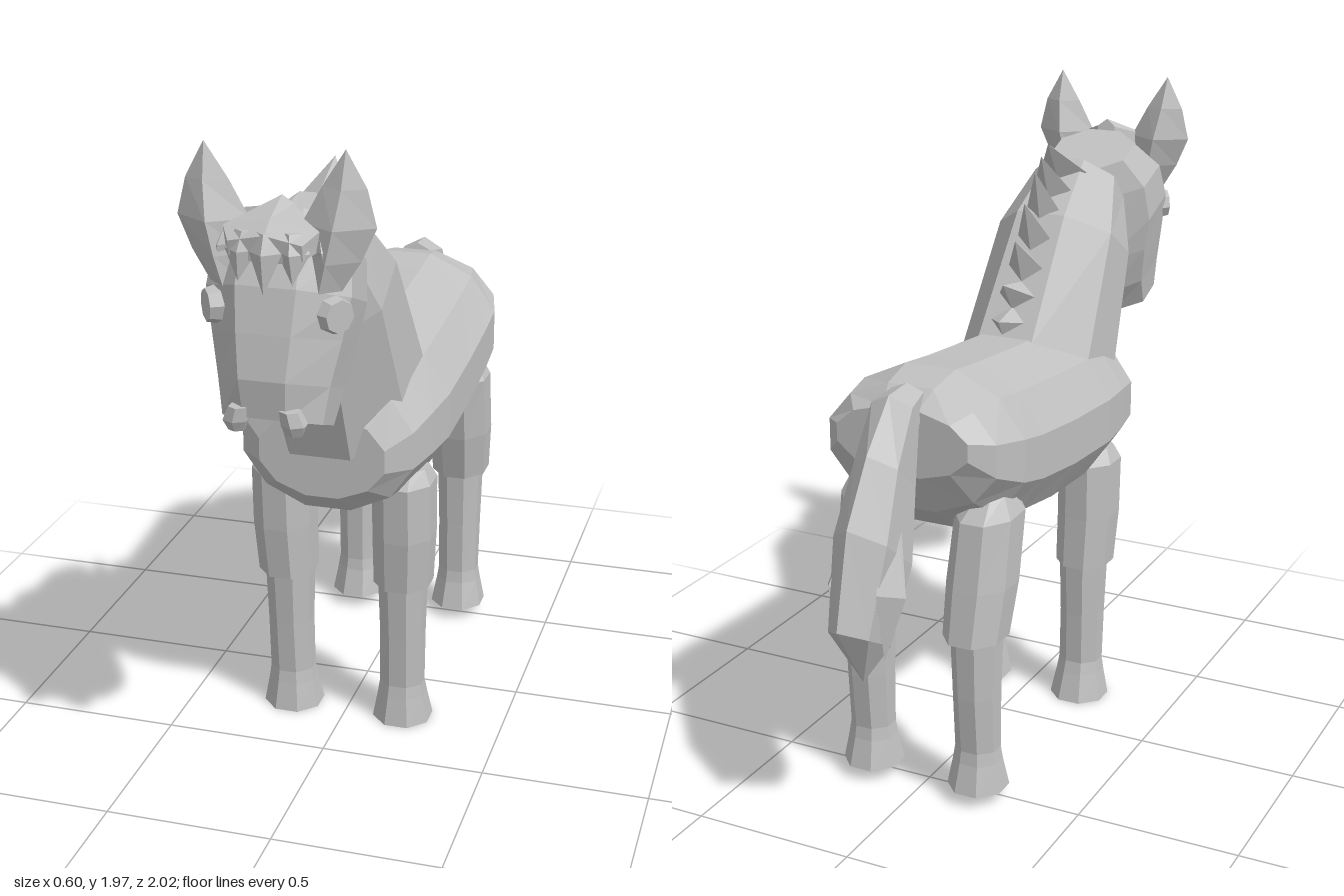
import * as THREE from 'three';

const coat = new THREE.MeshStandardMaterial({ color: 0xc0c0c0, flatShading: true });
coat.name = 'grey coat';

// Capped loft. Each ring is [z1, y1, z2, y2, halfWidth, x]: a polygon whose
// mid-line runs from (z1, y1) to (z2, y2), spread sideways by halfWidth.
function loft(name, rings, n = 8) {
  const c = n === 4 ? 1 : Math.cos(Math.PI / n);
  const shift = n === 4 ? 0 : 0.5;
  const pos = [], idx = [];
  const centres = [];
  rings.forEach(([z1, y1, z2, y2, w, x = 0]) => {
    centres.push([x, (y1 + y2) / 2, (z1 + z2) / 2]);
    for (let k = 0; k < n; k++) {
      const a = ((k + shift) / n) * Math.PI * 2;
      const s = Math.sin(a) / c / 2;
      pos.push(x + (w * Math.cos(a)) / c, (y1 + y2) / 2 + (y2 - y1) * s, (z1 + z2) / 2 + (z2 - z1) * s);
    }
  });
  const last = rings.length - 1, c0 = rings.length * n;
  pos.push(...centres[0], ...centres[last]);
  for (let k = 0; k < n; k++) {
    const m = (k + 1) % n;
    for (let r = 0; r < last; r++) {
      const a = r * n + k, b = r * n + m;
      idx.push(a, b, b + n, a, b + n, a + n);
    }
    idx.push(c0, m, k, c0 + 1, last * n + k, last * n + m);
  }
  // Turn the faces outward if the rings ran the other way
  const v = (i) => new THREE.Vector3().fromArray(pos, i * 3);
  let volume = 0;
  for (let i = 0; i < idx.length; i += 3) volume += v(idx[i]).dot(v(idx[i + 1]).cross(v(idx[i + 2])));
  if (volume < 0) idx.reverse();
  const indexed = new THREE.BufferGeometry();
  indexed.setAttribute('position', new THREE.Float32BufferAttribute(pos, 3));
  indexed.setIndex(idx);
  const geo = indexed.toNonIndexed();
  geo.computeVertexNormals();
  const mesh = new THREE.Mesh(geo, coat);
  mesh.name = name;
  return mesh;
}

// Level ring for legs and ears
const level = (y, z1, z2, w, x) => [z1, y, z2, y, w, x];

export function createModel() {
  const model = new THREE.Group();
  model.name = 'horse';
  const add = (...parts) => model.add(...parts);

  // Barrel of the body: z, bottom, top, half width
  add(loft('body', [
    [0.49, 0.84, 1.1, 0.19], [0.43, 0.78, 1.2, 0.26], [0.3, 0.76, 1.24, 0.285],
    [0.16, 0.745, 1.26, 0.3], [-0.1, 0.755, 1.28, 0.3], [-0.33, 0.79, 1.3, 0.3],
    [-0.46, 0.83, 1.315, 0.3], [-0.58, 0.92, 1.29, 0.27], [-0.64, 1.04, 1.24, 0.21],
  ].map(([z, lo, hi, w]) => [z, lo, z, hi, w]), 12));

  add(loft('neck', [
    [0.5, 0.97, 0.02, 1.26, 0.22], [0.65, 1.38, 0.28, 1.61, 0.195], [0.68, 1.55, 0.48, 1.75, 0.14],
    [0.66, 1.66, 0.57, 1.7, 0.1],
  ]));

  add(loft('head', [
    [0.57, 1.7, 0.79, 1.79, 0.13], [0.58, 1.6, 0.9, 1.72, 0.19], [0.6, 1.48, 0.95, 1.62, 0.2],
    [0.61, 1.38, 0.975, 1.5, 0.18], [0.66, 1.26, 0.995, 1.38, 0.155], [0.75, 1.18, 0.98, 1.27, 0.14],
  ]));

  // Mane: swept-back spikes down the neck
  const crest = (t) => [0.49 - 0.49 * t, 1.75 - 0.47 * t];
  [[0.33, 1.82], [0.28, 1.79], [0.235, 1.75], [0.16, 1.665], [0.095, 1.56], [0.01, 1.44], [-0.02, 1.33]]
    .forEach((tip, i) => {
      const w = 0.08 - i * 0.004;
      add(loft('maneSpike', [[...crest(i * 0.14), ...crest(i * 0.14 + 0.15), w], [...tip, ...tip, 0]], 4));
    });

  // Forelock: ragged locks hanging over the brow
  add(loft('forelockBase', [
    [0.78, 1.74, 0.8, 1.82, 0.03], [0.88, 1.69, 0.9, 1.78, 0.13], [0.94, 1.68, 0.95, 1.75, 0.1],
  ], 6));
  [[-0.14, 0.9, 1.62], [-0.07, 0.95, 1.63], [0, 0.965, 1.6], [0.07, 0.95, 1.63], [0.14, 0.9, 1.62]]
    .forEach(([x, z, y]) => add(loft('forelock', [
      level(1.76, z - 0.05, z - 0.01, 0.025, x * 0.9),
      level(1.71, z - 0.06, z + 0.015, 0.045, x),
      level(y, z, z, 0, x * 1.05),
    ], 4)));

  // Tail
  add(loft('tail', [
    [-0.58, 1.22, -0.6, 1.3, 0.05], [-0.64, 1.18, -0.7, 1.29, 0.065], [-0.65, 1.0, -0.82, 1.15, 0.07],
    [-0.69, 0.78, -0.93, 0.97, 0.085], [-0.79, 0.58, -1.0, 0.7, 0.065], [-0.88, 0.5, -0.88, 0.5, 0],
  ], 6));

  for (const s of [1, -1]) {
    const side = s > 0 ? 'left' : 'right';

    add(loft(side + 'TailTuft', [
      [-0.74, 1.0, -0.78, 1.03, 0.01, s * 0.05], [-0.77, 0.74, -0.93, 0.8, 0.05, s * 0.075],
      [-0.88, 0.58, -0.88, 0.58, 0, s * 0.07],
    ], 4));

    // Leaf-shaped ears
    add(loft(side + 'Ear', [
      level(1.6, 0.82, 0.91, 0.05, s * 0.13), level(1.68, 0.8, 0.92, 0.08, s * 0.15),
      level(1.77, 0.79, 0.92, 0.1, s * 0.17), level(1.87, 0.82, 0.89, 0.06, s * 0.185),
      level(1.97, 0.86, 0.86, 0, s * 0.19),
    ], 4));

    // Eye disc, turned outward and a little forward
    const eye = new THREE.Mesh(new THREE.CylinderGeometry(0.045, 0.055, 0.04, 8), coat);
    eye.name = side + 'Eye';
    eye.position.set(s * 0.168, 1.54, 0.885);
    eye.quaternion.setFromUnitVectors(new THREE.Vector3(0, 1, 0), new THREE.Vector3(s * 0.8, 0, 0.6));
    add(eye);

    // Nostril flap
    add(loft(side + 'Nostril', [
      level(1.3, 0.95, 1.0, 0.025, s * 0.07), level(1.26, 0.94, 1.0, 0.032, s * 0.08),
      level(1.23, 0.95, 0.985, 0.02, s * 0.08),
    ], 6));

    // Front leg
    add(loft(side + 'FrontUpperLeg', [
      level(0.875, 0.2, 0.33, 0.06, s * 0.2), level(0.83, 0.155, 0.37, 0.09, s * 0.19),
      level(0.65, 0.155, 0.36, 0.09, s * 0.19), level(0.48, 0.15, 0.34, 0.085, s * 0.185),
    ]));
    add(loft(side + 'FrontLowerLeg', [
      level(0.52, 0.165, 0.32, 0.072, s * 0.182), level(0.3, 0.172, 0.305, 0.066, s * 0.182),
      level(0.13, 0.175, 0.295, 0.066, s * 0.18), level(0.09, 0.165, 0.3, 0.072, s * 0.18),
      level(0, 0.138, 0.315, 0.088, s * 0.18),
    ]));

    // Hind leg
    add(loft(side + 'HindUpperLeg', [
      [-0.52, 0.965, -0.42, 0.98, 0.05, s * 0.2], [-0.58, 0.9, -0.34, 0.91, 0.09, s * 0.19],
      [-0.615, 0.7, -0.385, 0.7, 0.095, s * 0.185], [-0.64, 0.54, -0.43, 0.54, 0.088, s * 0.18],
    ]));
    add(loft(side + 'HindLowerLeg', [
      level(0.58, -0.61, -0.45, 0.072, s * 0.18), level(0.35, -0.6, -0.46, 0.066, s * 0.18),
      level(0.17, -0.585, -0.465, 0.064, s * 0.18), level(0.13, -0.59, -0.46, 0.07, s * 0.18),
      level(0.04, -0.612, -0.435, 0.086, s * 0.18),
    ]));
  }
  return model;
}
